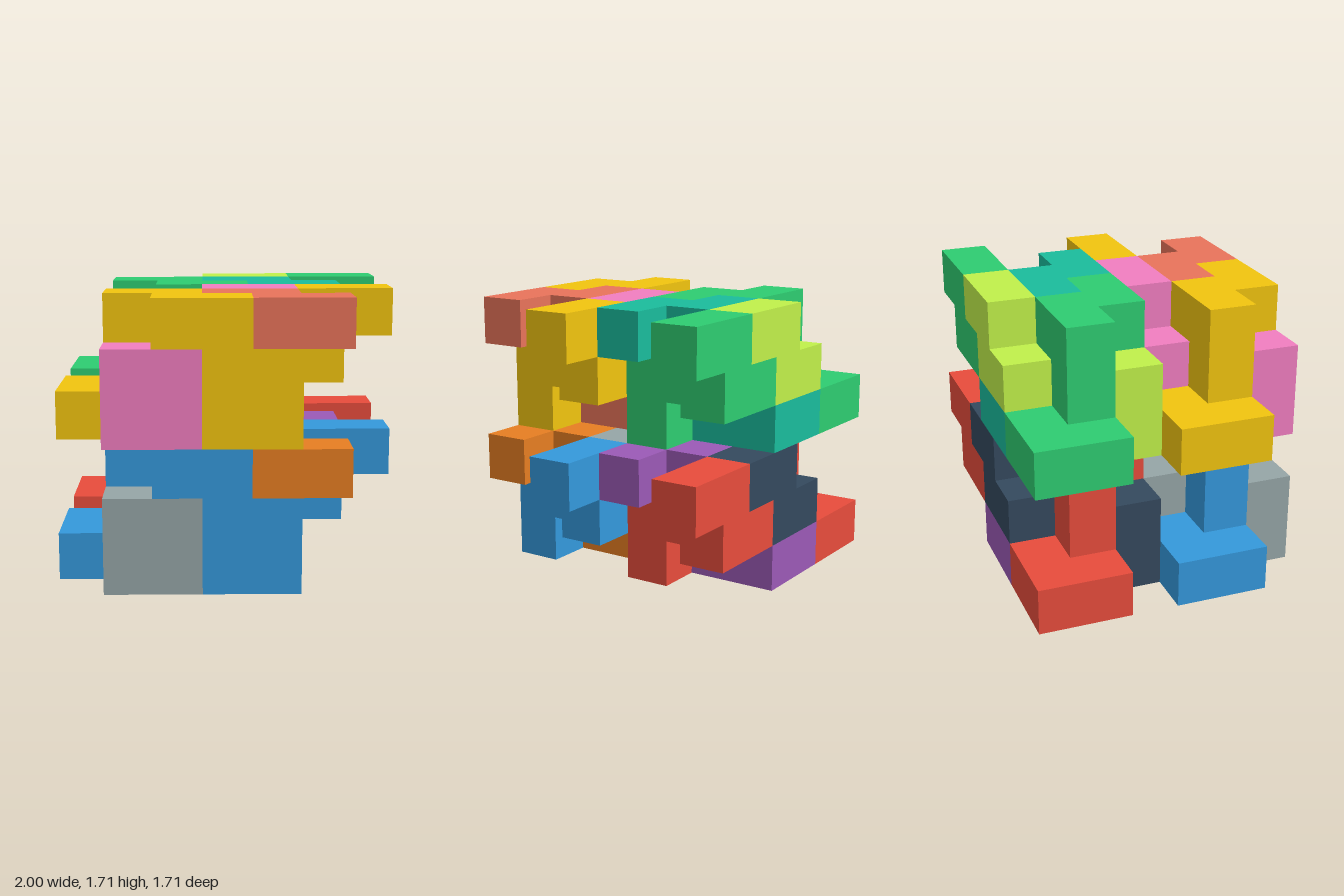
import * as THREE from 'three';
import { mergeGeometries } from 'three/addons/utils/BufferGeometryUtils.js';

const CELL = 2 / 7;

// One puzzle module, 7 x 3 x 3 cells: slices from front to back, rows from top to bottom.
// a = frame piece, b = link piece, c = plate piece, . = empty
const SLICES = [
  ['..aabb.', '.ccaa..', '.ccaa..'],
  ['.aabb..', '.acba..', 'aabb...'],
  ['...ccaa', '..ccaa.', 'aabb...'],
];

const PIECES = { a: 'framePiece', b: 'linkPiece', c: 'platePiece' };

// Module placements and their piece colours
const MODULES = [
  { name: 'lowerFrontModule', y: 0, z: 3, colors: { a: 0x3498db, b: 0xe67e22, c: 0x95a5a6 } },
  { name: 'lowerBackModule', y: 0, z: 0, colors: { a: 0xe74c3c, b: 0x9b59b6, c: 0x34495e } },
  { name: 'upperFrontModule', y: 3, z: 3, colors: { a: 0xf1c40f, b: 0xe8735a, c: 0xf17ec0 } },
  { name: 'upperBackModule', y: 3, z: 0, colors: { a: 0x2ecc71, b: 0x1abc9c, c: 0xc0f04a } },
];

// Cell lookup with y counted from the bottom and z from the back
const cellAt = (x, y, z) => SLICES[2 - z]?.[2 - y]?.[x] ?? '.';

// The six outward directions of a cell
const DIRECTIONS = [
  [1, 0, 0], [-1, 0, 0], [0, 1, 0], [0, -1, 0], [0, 0, 1], [0, 0, -1],
].map((d) => new THREE.Vector3(...d));

// Square cell face, turned outward along direction d
function cellFace(x, y, z, d) {
  const turn = new THREE.Quaternion().setFromUnitVectors(new THREE.Vector3(0, 0, 1), d);
  if (d.z < 0) turn.setFromAxisAngle(new THREE.Vector3(0, 1, 0), Math.PI);
  return new THREE.PlaneGeometry(CELL, CELL)
    .applyQuaternion(turn)
    .translate(
      (x - 3 + d.x / 2) * CELL,
      (y + 0.5 + d.y / 2) * CELL,
      (z - 2.5 + d.z / 2) * CELL,
    );
}

// Closed skin of one piece: faces between cells of the same piece are left out
function pieceGeometry(id) {
  const faces = [];
  for (let x = 0; x < 7; x++)
    for (let y = 0; y < 3; y++)
      for (let z = 0; z < 3; z++) {
        if (cellAt(x, y, z) !== id) continue;
        for (const d of DIRECTIONS)
          if (cellAt(x + d.x, y + d.y, z + d.z) !== id) faces.push(cellFace(x, y, z, d));
      }
  return mergeGeometries(faces);
}

export function createModel() {
  const model = new THREE.Group();
  model.name = 'interlockingBlocks';

  // The three piece shapes are shared by all modules
  const shapes = {};
  for (const id in PIECES) shapes[id] = pieceGeometry(id);

  for (const { name, y, z, colors } of MODULES) {
    const module = new THREE.Group();
    module.name = name;
    module.position.set(0, y * CELL, z * CELL);
    for (const id in PIECES) {
      const mesh = new THREE.Mesh(
        shapes[id],
        new THREE.MeshStandardMaterial({ color: colors[id] }),
      );
      mesh.name = PIECES[id];
      module.add(mesh);
    }
    model.add(module);
  }
  return model;
}
